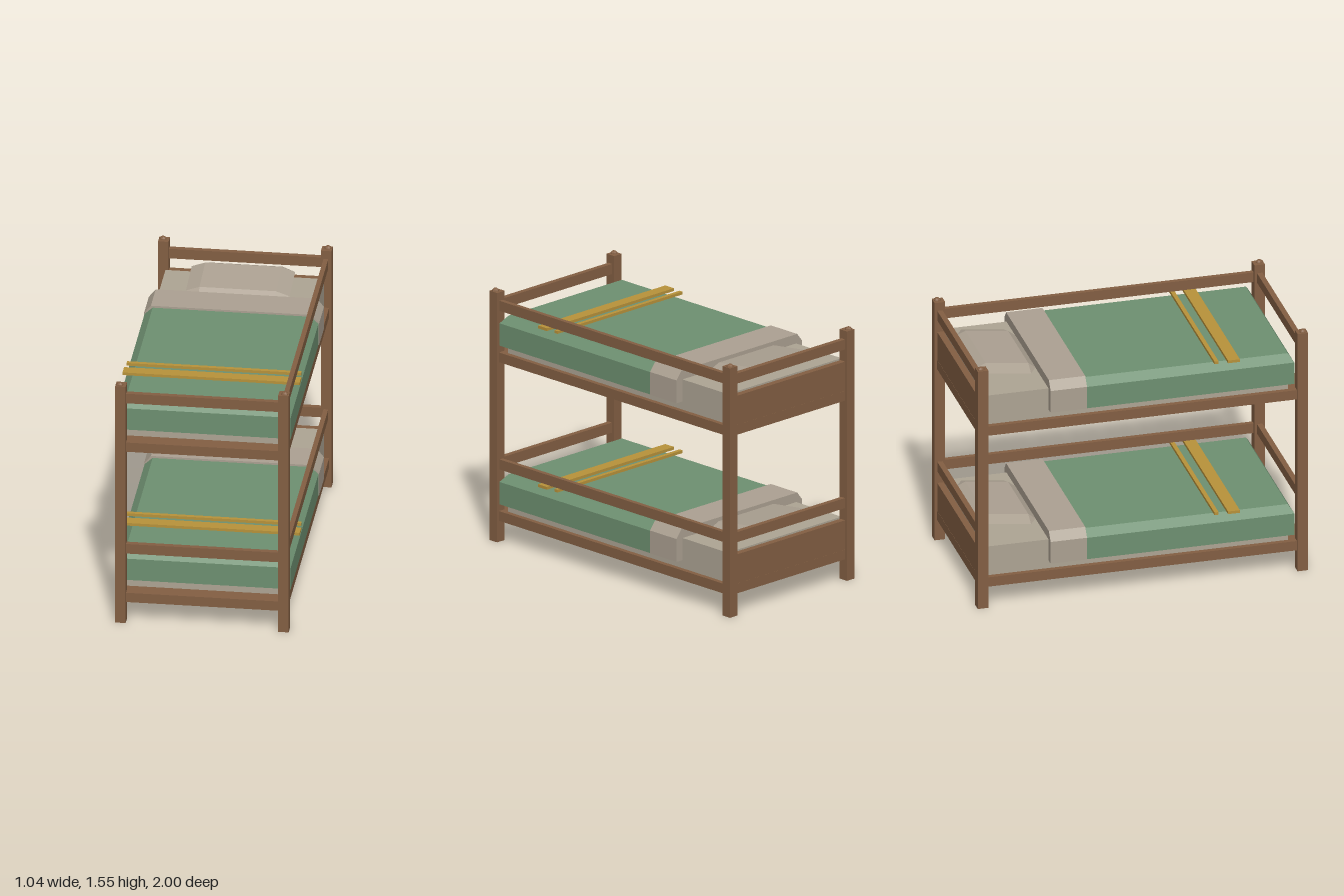
import * as THREE from 'three';
import { ConvexGeometry } from 'three/addons/geometries/ConvexGeometry.js';

const paint = (name, color) => Object.assign(new THREE.MeshStandardMaterial({ color, flatShading: true }), { name });

export function createModel() {
  const wood = paint('wood', 0x835f43);
  const green = paint('greenBlanket', 0x6e9071);
  const linen = paint('linen', 0xaca192);
  const cream = paint('mattressCream', 0xaea594);
  const gold = paint('goldStripe', 0xb8923a);

  const model = new THREE.Group();
  model.name = 'bunkBed';

  const add = (parent, name, geometry, material) => {
    const mesh = new THREE.Mesh(geometry, material);
    mesh.name = name;
    parent.add(mesh);
    return mesh;
  };
  // Box given by its lower and upper limits on each axis
  const box = (parent, name, material, [x0, x1], [y0, y1], [z0, z1]) => {
    const mesh = add(parent, name, new THREE.BoxGeometry(x1 - x0, y1 - y0, z1 - z0), material);
    mesh.position.set((x0 + x1) / 2, (y0 + y1) / 2, (z0 + z1) / 2);
    return mesh;
  };
  // Solid hull through stacked rectangles [halfWidth, y, zBack, zFront]
  const hull = (levels) => new ConvexGeometry(levels.flatMap(([w, y, z0, z1]) =>
    [[-w, z0], [w, z0], [w, z1], [-w, z1]].map(([x, z]) => new THREE.Vector3(x, y, z))));

  // Corner posts with small faceted knobs
  for (const sx of [-1, 1]) for (const sz of [-1, 1]) {
    const post = new THREE.Group();
    post.name = 'cornerPost';
    post.position.set(sx * 0.48, 0, sz * 0.968);
    model.add(post);
    box(post, 'post', wood, [-0.031, 0.031], [0, 1.537], [-0.032, 0.032]);
    const knob = add(post, 'knob', new THREE.SphereGeometry(0.023, 8, 6), wood);
    knob.position.set(sx * 0.006, 1.532, sz * 0.007);
  }

  // Pillow: octagonal middle outline, smaller flat top and bottom
  const pillowGeometry = hull([
    [0.225, -0.03, -0.13, 0.13],
    [0.305, 0, -0.13, 0.13],
    [0.225, 0, -0.179, 0.179],
    [0.225, 0.03, -0.13, 0.13],
  ]);

  const makeBunk = (name, y) => {
    const bunk = new THREE.Group();
    bunk.name = name;
    bunk.position.y = y;
    model.add(bunk);

    // Frame
    box(bunk, 'platform', wood, [-0.497, 0.497], [0, 0.06], [-0.985, 0.985]);
    box(bunk, 'headPanel', wood, [-0.46, 0.46], [0.03, 0.24], [-0.984, -0.945]);
    for (const s of [-1, 1])
      box(bunk, s > 0 ? 'footRail' : 'headRail', wood, [-0.46, 0.46], [0.315, 0.377], [s * 0.968 - 0.016, s * 0.968 + 0.016]);
    box(bunk, 'guardRail', wood, [0.464, 0.492], [0.315, 0.377], [-0.95, 0.95]);

    // Bedding
    box(bunk, 'mattress', cream, [-0.467, 0.467], [0.058, 0.246], [-0.936, 0.89]);
    add(bunk, 'blanket', hull([
      [0.512, 0.11, -0.34, 0.916],
      [0.512, 0.248, -0.34, 0.916],
      [0.465, 0.291, -0.34, 0.888],
    ]), green);
    add(bunk, 'sheetFold', hull([
      [0.516, 0.11, -0.56, -0.34],
      [0.516, 0.251, -0.56, -0.34],
      [0.475, 0.303, -0.56, -0.34],
    ]), linen);
    const pillow = add(bunk, 'pillow', pillowGeometry, linen);
    pillow.position.set(0, 0.293, -0.75);
    pillow.rotation.x = 0.125;

    // Stripe bands lying across the blanket
    box(bunk, 'wideBand', gold, [-0.522, 0.522], [0.299, 0.316], [0.512, 0.584]);
    box(bunk, 'narrowBand', gold, [-0.514, 0.514], [0.299, 0.316], [0.432, 0.457]);
  };

  makeBunk('lowerBunk', 0.13);
  makeBunk('upperBunk', 1.108);
  return model;
}
